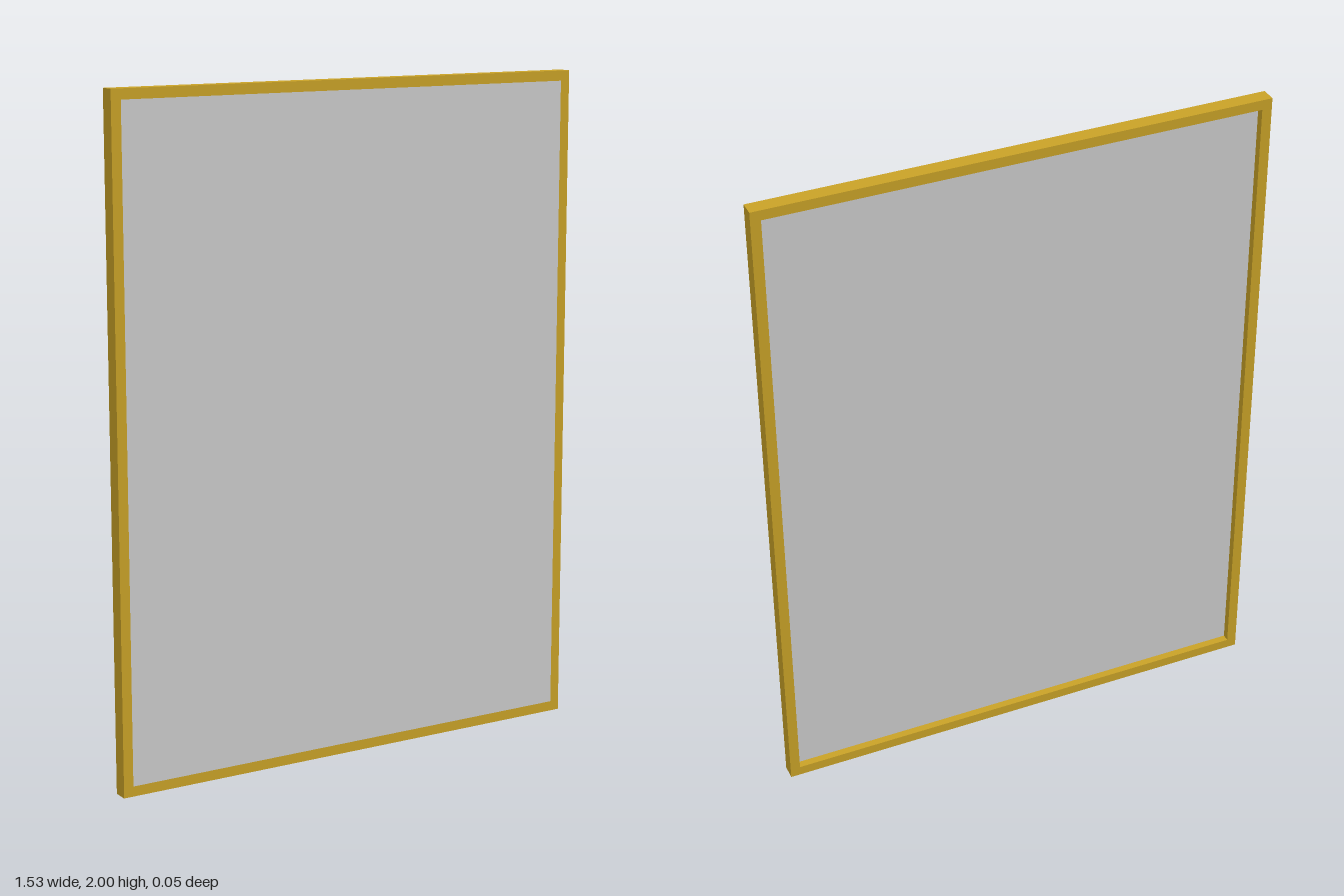
import * as THREE from 'three';

const W = 1.53, H = 2, DEPTH = 0.046, BAR = 0.03;

// Rectangle outline centred on the origin
function rect(PathType, w, h) {
  return new PathType([
    new THREE.Vector2(-w / 2, -h / 2),
    new THREE.Vector2(w / 2, -h / 2),
    new THREE.Vector2(w / 2, h / 2),
    new THREE.Vector2(-w / 2, h / 2),
  ]);
}

export function createModel() {
  const group = new THREE.Group();
  group.name = 'framedPanel';
  const innerW = W - 2 * BAR, innerH = H - 2 * BAR;

  // Gold border with a rectangular opening
  const outline = rect(THREE.Shape, W, H);
  outline.holes.push(rect(THREE.Path, innerW, innerH));
  const frame = new THREE.Mesh(
    new THREE.ExtrudeGeometry(outline, { depth: DEPTH, bevelEnabled: false }),
    new THREE.MeshStandardMaterial({ color: 0xc9a227 })
  );
  frame.name = 'frame';
  frame.position.set(0, H / 2, -DEPTH / 2);
  group.add(frame);

  // Panel flush with the front, recessed at the back
  const thickness = DEPTH / 2;
  const panel = new THREE.Mesh(
    new THREE.BoxGeometry(innerW, innerH, thickness),
    new THREE.MeshStandardMaterial({ color: 0xcccccc })
  );
  panel.name = 'panel';
  panel.position.set(0, H / 2, DEPTH / 2 - thickness / 2);
  group.add(panel);

  return group;
}
